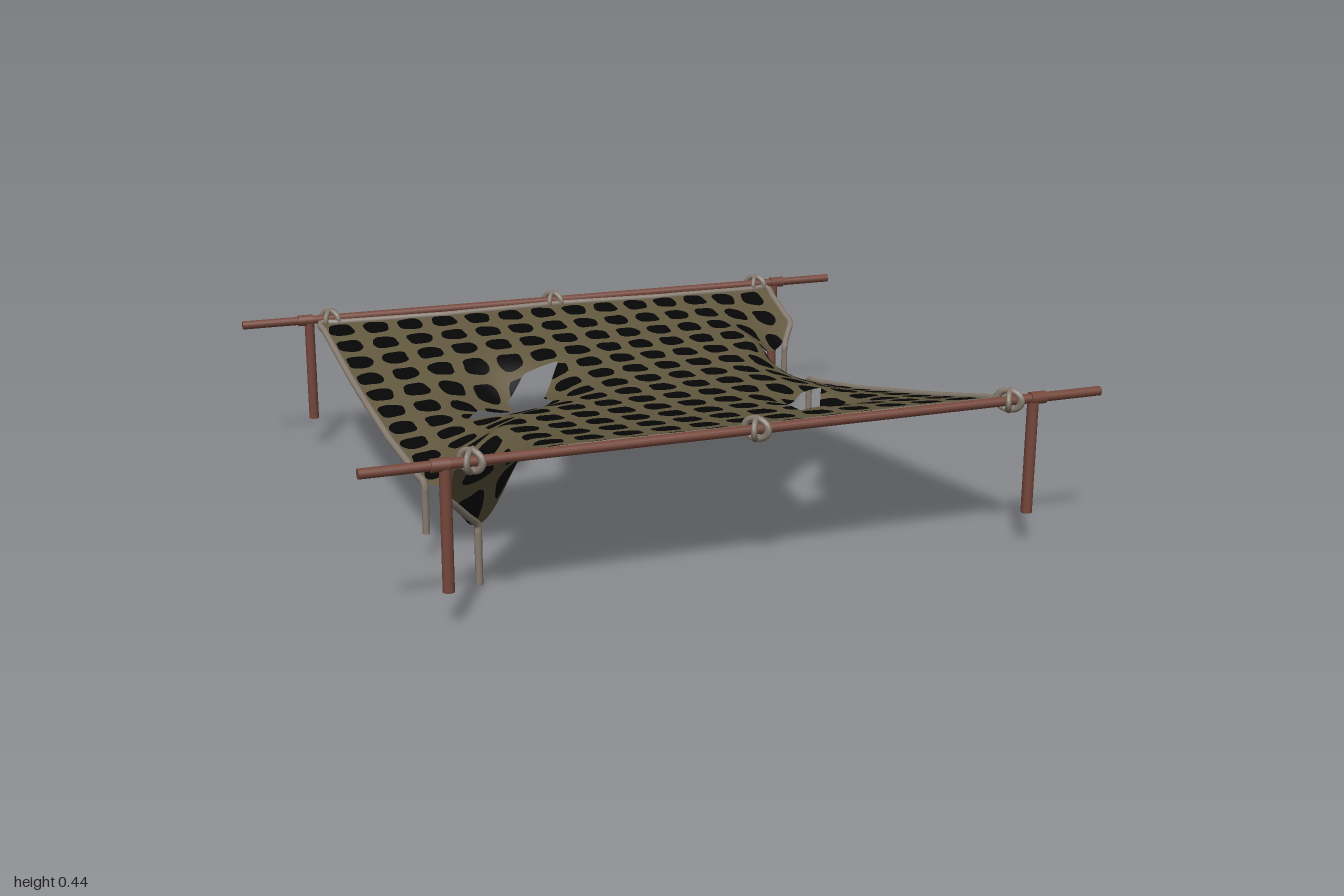
import * as THREE from 'three';

const mat = (name, color, side = THREE.FrontSide) => {
  const m = new THREE.MeshStandardMaterial({ color, side });
  m.name = name;
  return m;
};

// Torn outline of the sheet and its two rips, as [x, z]
const OUTLINE = [
  [-0.77, -0.765], [-0.37, -0.755], [0, -0.768], [0.37, -0.755], [0.76, -0.765], [0.755, -0.57],
  [0.53, -0.34], [0.70, -0.32], [0.73, 0.22], [0.76, 0.765], [0.37, 0.755], [0, 0.768],
  [-0.37, 0.755], [-0.77, 0.765], [-0.77, 0.66], [-0.56, 0.43], [-0.725, 0.32], [-0.75, -0.22],
];
const RIPS = [
  [[-0.14, -0.32], [-0.25, -0.32], [-0.33, -0.24], [-0.32, -0.18], [-0.44, -0.16], [-0.51, -0.02],
    [-0.42, 0], [-0.30, -0.01], [-0.235, -0.09], [-0.24, -0.16], [-0.2, -0.22]],
  [[0.51, 0.14], [0.42, 0.19], [0.29, 0.33], [0.26, 0.46], [0.245, 0.54], [0.33, 0.50],
    [0.37, 0.45], [0.37, 0.35], [0.43, 0.29]],
];

// Drooping sides, as [z, value]: edge height, and the distance from the middle where the droop starts and ends
const LEFT = {
  edge: [[-0.78, 0.405], [-0.4, 0.315], [0, 0.24], [0.32, 0.205], [0.55, 0.16], [0.67, 0.3], [0.78, 0.405]],
  start: [[-0.78, 0.28], [0.1, 0.3], [0.32, 0.5], [0.78, 0.48]],
  end: [[-0.78, 0.77], [0.1, 0.74], [0.32, 0.72], [0.43, 0.68], [0.55, 0.65], [0.66, 0.75], [0.78, 0.77]],
};
const RIGHT = {
  edge: [[-0.78, 0.405], [-0.57, 0.32], [-0.5, 0.26], [-0.31, 0.19], [0, 0.24], [0.4, 0.32], [0.78, 0.405]],
  start: [[-0.78, 0.4], [-0.5, 0.46], [-0.35, 0.5], [-0.3, 0.49], [-0.1, 0.32], [0.78, 0.28]],
  end: [[-0.78, 0.76], [-0.55, 0.74], [-0.45, 0.7], [-0.34, 0.64], [-0.3, 0.63], [-0.1, 0.73], [0.78, 0.76]],
};

function lookup(table, z) {
  for (let i = 1; i < table.length; i++) {
    const [z0, y0] = table[i - 1], [z1, y1] = table[i];
    if (z <= z1) return y0 + (y1 - y0) * Math.max(0, (z - z0) / (z1 - z0));
  }
  return table[table.length - 1][1];
}

// Sagging surface: a shallow trough, drooping sides, and a dip by each rip
function height(x, z) {
  const base = 0.325 + 0.08 * (z / 0.78) ** 2;
  const side = x < 0 ? LEFT : RIGHT;
  const f = THREE.MathUtils.smoothstep(Math.abs(x), lookup(side.start, z), lookup(side.end, z));
  const dip = (cx, cz, depth, spread) => depth * Math.exp(-((x - cx) ** 2 + (z - cz) ** 2) / spread);
  return base + (lookup(side.edge, z) - base) * f
    - dip(-0.35, -0.13, 0.075, 0.03) - dip(-0.32, -0.25, 0.045, 0.014) - dip(0.41, 0.31, 0.052, 0.013);
}

// Signed distance to the sheet's border, positive on the cloth
function onSheet(x, z) {
  let d = Infinity, inside = false;
  for (const poly of [OUTLINE, ...RIPS]) {
    poly.forEach(([ax, az], i) => {
      const [bx, bz] = poly[(i + 1) % poly.length];
      const dx = bx - ax, dz = bz - az;
      const t = THREE.MathUtils.clamp(((x - ax) * dx + (z - az) * dz) / (dx * dx + dz * dz), 0, 1);
      d = Math.min(d, Math.hypot(x - ax - t * dx, z - az - t * dz));
      if ((az > z) !== (bz > z) && x < ax + (dx * (z - az)) / dz) inside = !inside;
    });
  }
  return inside ? d : -d;
}

// Positive inside one of the 14 x 14 uneven rounded-square spots
function onSpot(x, z) {
  const pull = Math.max(0, 1 - Math.abs(z - (x < 0 ? 0.32 : -0.32)));
  const u = (x + 0.006) * 0.77 / (0.77 - 0.045 * pull), step = 0.109;
  const i = THREE.MathUtils.clamp(Math.round(u / step + 6.5), 0, 13);
  const j = THREE.MathUtils.clamp(Math.round(z / step + 6.5), 0, 13);
  const dx = u - (i - 6.5) * step, dz = z - (j - 6.5) * step;
  const a = Math.atan2(dz, dx), seed = i * 2.3 + j * 4.1;
  const r = 0.038 + 0.0015 * Math.sin(3 * a + seed) + 0.0012 * Math.sin(5 * a + seed * 1.7);
  return r - Math.cbrt(Math.abs(dx) ** 3 + Math.abs(dz) ** 3);
}

// Keeps the part of a polygon where component k has the given sign
function clip(poly, k, sign) {
  const out = [];
  poly.forEach((p, i) => {
    const q = poly[(i + 1) % poly.length], a = p[k] * sign, b = q[k] * sign;
    if (a >= 0) out.push(p);
    if ((a >= 0) !== (b >= 0)) out.push(p.map((v, n) => v + (q[n] - v) * (a / (a - b))));
  });
  return out;
}

function sheetGeometries() {
  const N = 128, S = 0.785;
  const grid = Array.from({ length: (N + 1) ** 2 }, (_, n) => {
    const x = -S + (2 * S * (n % (N + 1))) / N, z = -S + (2 * S * Math.floor(n / (N + 1))) / N;
    return [x, z, onSheet(x, z), onSpot(x, z)];
  });
  const sets = [{ pos: [], nor: [] }, { pos: [], nor: [] }];
  const add = (set, poly) => {
    for (let i = 2; i < poly.length; i++) {
      for (const [x, z] of [poly[0], poly[i - 1], poly[i]]) {
        const e = 0.02;
        const n = new THREE.Vector3(height(x - e, z) - height(x + e, z), 2 * e, height(x, z - e) - height(x, z + e));
        n.normalize();
        set.pos.push(x, height(x, z), z);
        set.nor.push(n.x, n.y, n.z);
      }
    }
  };
  for (let j = 0; j < N; j++) {
    for (let i = 0; i < N; i++) {
      const a = grid[j * (N + 1) + i], b = grid[j * (N + 1) + i + 1];
      const c = grid[(j + 1) * (N + 1) + i], d = grid[(j + 1) * (N + 1) + i + 1];
      for (const tri of [[a, c, b], [b, c, d]]) {
        const cloth = clip(tri, 2, 1);
        add(sets[0], clip(cloth, 3, -1));
        add(sets[1], clip(cloth, 3, 1));
      }
    }
  }
  return sets.map(({ pos, nor }) => {
    const g = new THREE.BufferGeometry();
    g.setAttribute('position', new THREE.Float32BufferAttribute(pos, 3));
    g.setAttribute('normal', new THREE.Float32BufferAttribute(nor, 3));
    return g;
  });
}

// Rope that follows the sheet's edge and hangs down at both ends
function ropeGeometry(path, startY, endY) {
  const pts = [];
  path.forEach(([x, z], i) => {
    const [nx, nz] = path[i + 1] || [x, z];
    const steps = i + 1 < path.length ? Math.max(2, Math.ceil(Math.hypot(nx - x, nz - z) / 0.06)) : 1;
    for (let s = 0; s < steps; s++) {
      const px = x + ((nx - x) * s) / steps, pz = z + ((nz - z) * s) / steps;
      pts.push(new THREE.Vector3(px, height(px, pz), pz));
    }
  });
  const first = pts[0], last = pts[pts.length - 1];
  const at = (p, y) => new THREE.Vector3(p.x, y, p.z);
  pts.unshift(at(first, startY), at(first, first.y - 0.02));
  pts.push(at(last, last.y - 0.02), at(last, endY));
  return new THREE.TubeGeometry(new THREE.CatmullRomCurve3(pts, false, 'centripetal'), 220, 0.01, 8);
}

export function createModel() {
  const model = new THREE.Group();
  model.name = 'hangingNet';
  const wood = mat('redBrownWood', 0x74463a);
  const ropeMat = mat('greyRope', 0x867b6f);
  const clothMat = mat('oliveCloth', 0x62583f, THREE.DoubleSide);
  const spotMat = mat('blackSpots', 0x060606, THREE.DoubleSide);
  const add = (name, geometry, material, x = 0, y = 0, z = 0) => {
    const m = new THREE.Mesh(geometry, material);
    m.name = name;
    m.position.set(x, y, z);
    model.add(m);
    return m;
  };

  // Sheet and its spots
  const [cloth, spots] = sheetGeometries();
  add('sheet', cloth, clothMat);
  add('sheetSpots', spots, spotMat);

  // Edge ropes
  add('frontEdgeRope', ropeGeometry([[0.70, -0.315], [0.73, 0.22], [0.757, 0.765], [0.37, 0.755], [0, 0.768],
    [-0.37, 0.755], [-0.767, 0.765], [-0.767, 0.66], [-0.65, 0.55]], 0.06, 0), ropeMat);
  add('backEdgeRope', ropeGeometry([[-0.725, 0.32], [-0.75, -0.22], [-0.767, -0.765], [-0.37, -0.755], [0, -0.768],
    [0.37, -0.755], [0.757, -0.765], [0.752, -0.57], [0.70, -0.5]], 0.07, 0.13), ropeMat);

  // Poles, posts, joint collars and crossed rope ties
  const poleGeo = new THREE.CylinderGeometry(0.013, 0.013, 2, 12).rotateZ(Math.PI / 2);
  const postGeo = new THREE.CylinderGeometry(0.015, 0.015, 0.315, 12);
  const collarGeo = new THREE.CylinderGeometry(0.017, 0.017, 0.045, 12).rotateZ(Math.PI / 2);
  const tieGeo = new THREE.TorusGeometry(0.026, 0.008, 8, 20).rotateY(Math.PI / 2).scale(1, 1, 1.3);
  for (const side of [1, -1]) {
    const z = side * 0.797;
    add('pole', poleGeo, wood, 0, 0.408, z);
    for (const x of [-1, 1]) {
      add('post', postGeo, wood, x * 0.795, 0.25, z);
      add('jointCollar', collarGeo, wood, x * 0.807, 0.408, z);
    }
    for (const x of [-0.73, 0, 0.725]) {
      for (const turn of [0.6, -0.6]) add('ropeTie', tieGeo, ropeMat, x, 0.408, z - side * 0.006).rotation.y = turn;
    }
  }
  return model;
}
